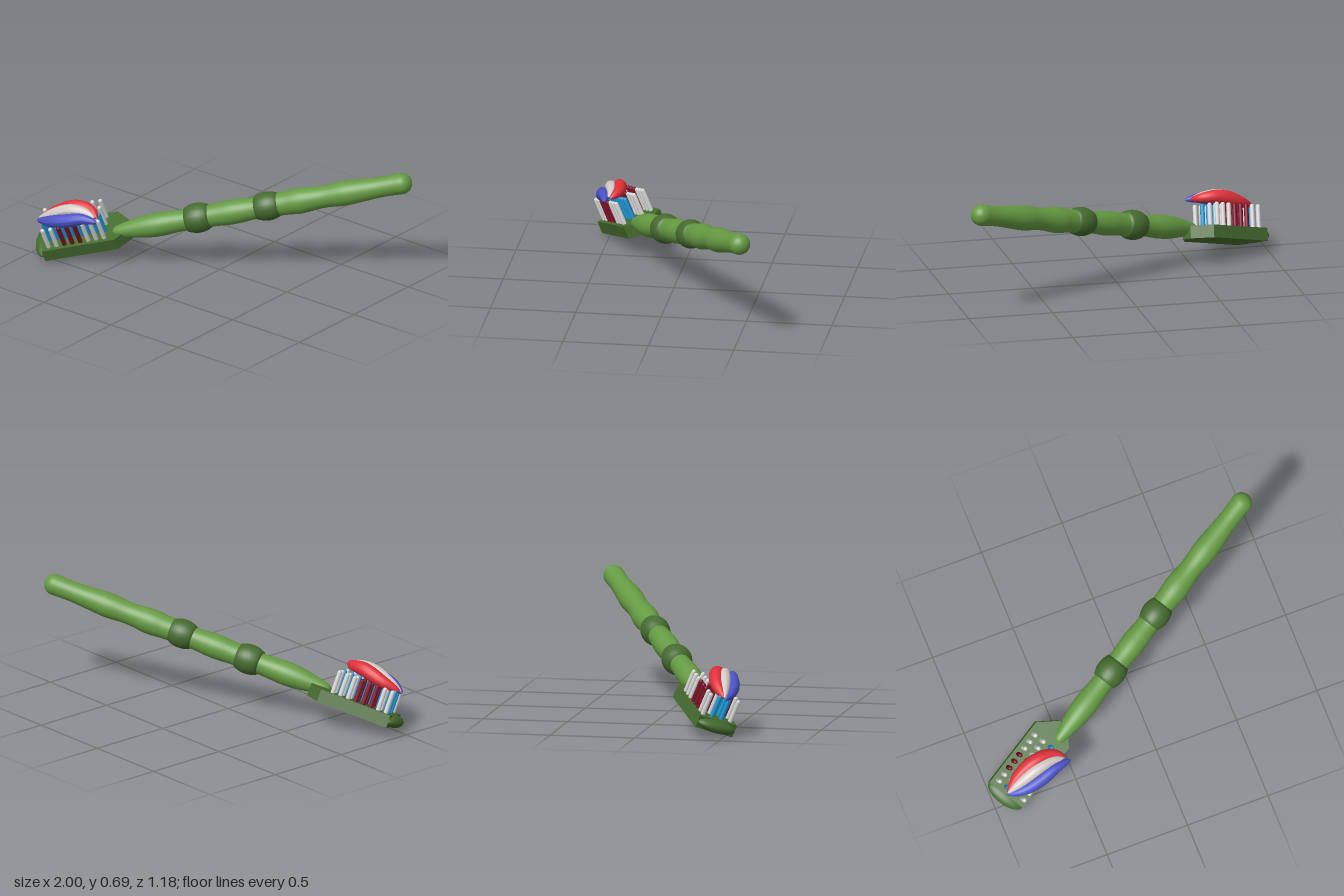
import * as THREE from 'three';

const mat = (name, color) => {
  const m = new THREE.MeshStandardMaterial({ color });
  m.name = name;
  return m;
};
const V = (x, y, z) => new THREE.Vector3(x, y, z);

export function createModel() {
  const green = mat('leafGreen', 0x659a42);
  const darkGreen = mat('darkGreen', 0x456b2e);
  const white = mat('bristleWhite', 0xd6d6d6);
  const maroon = mat('maroon', 0x7c0d26);
  const cyan = mat('skyBlue', 0x1a98d6);
  const red = mat('pasteRed', 0xe0303a);
  const cream = mat('pasteWhite', 0xd2cac6);
  const blue = mat('pasteBlue', 0x4a52c6);

  const model = new THREE.Group();
  model.name = 'toothbrush';
  const add = (parent, name, geo, material) => {
    const mesh = new THREE.Mesh(geo, material);
    mesh.name = name;
    parent.add(mesh);
    return mesh;
  };

  // Tilted brush frame: x runs along the handle, y along the bristles
  const brush = new THREE.Group();
  brush.name = 'brush';
  const along = V(0.843, 0.25, -0.477).normalize();
  const up = V(-0.05, 0.917, 0.393);
  const side = along.clone().cross(up).normalize();
  up.copy(side).cross(along);
  brush.quaternion.setFromRotationMatrix(new THREE.Matrix4().makeBasis(along, up, side));
  brush.position.set(-0.925, 0.08, 0.467);
  model.add(brush);

  // Head block with a tapered end towards the neck
  const T = 0.075, W = 0.122;
  const outline = new THREE.Shape([[0, -W], [0.44, -W], [0.53, -0.02], [0.53, 0.045], [0.44, W], [0, W]]
    .map(([x, y]) => new THREE.Vector2(x, y)));
  const headGeo = new THREE.ExtrudeGeometry(outline, { depth: T, bevelEnabled: false });
  headGeo.rotateX(Math.PI / 2).translate(0, T / 2, 0);
  add(brush, 'head', headGeo, darkGreen);

  // Rounded toe
  const toe = add(brush, 'toe', new THREE.SphereGeometry(1, 24, 16), darkGreen);
  toe.scale.set(0.055, T / 2, W);

  // Turned parts lie along x; each profile pair is [radius, position]
  const turned = (name, profile, material) => {
    const geo = new THREE.LatheGeometry(profile.map(([r, p]) => new THREE.Vector2(r, p)), 28);
    geo.rotateZ(-Math.PI / 2).translate(0, 0.03, 0.044);
    return add(brush, name, geo, material);
  };
  const smooth = (pts) => new THREE.SplineCurve(pts.map(([r, p]) => new THREE.Vector2(r, p)))
    .getPoints(40).map((p) => [Math.max(p.x, 0), p.y]);

  turned('neck', smooth([[0, 0.42], [0.028, 0.44], [0.048, 0.52], [0.066, 0.63], [0.07, 0.72], [0.063, 0.83], [0.062, 0.93]]), green);
  turned('middleGrip', smooth([[0.064, 0.93], [0.066, 1.04], [0.072, 1.13], [0.07, 1.2], [0.064, 1.28], [0.066, 1.37]]), green);

  // Rear handle with gentle swellings and a round end
  const rear = smooth([[0.066, 1.36], [0.069, 1.47], [0.076, 1.56], [0.067, 1.66], [0.066, 1.73],
    [0.073, 1.83], [0.067, 1.93], [0.06, 2.04], [0.06, 2.12], [0.062, 2.175]]);
  for (let i = 1; i <= 8; i++) {
    const a = (i / 8) * Math.PI / 2;
    rear.push([0.062 * Math.cos(a), 2.175 + 0.062 * Math.sin(a)]);
  }
  turned('rearHandle', rear, green);

  // Barrel shaped knuckle bands
  [['frontBand', 0.94, 0.088], ['rearBand', 1.363, 0.085]].forEach(([name, c, r]) => {
    const profile = [[0.05, c - 0.072]];
    for (let i = -4; i <= 4; i++) profile.push([r - 0.018 * (i / 4) ** 2, c + i * 0.0175]);
    profile.push([0.05, c + 0.072]);
    turned(name, profile, darkGreen);
  });

  // Bristles: coloured bands across the outer rows, blue in the middle
  const bristles = new THREE.Group();
  bristles.name = 'bristles';
  brush.add(bristles);
  const bristleGeo = new THREE.CapsuleGeometry(0.0135, 0.14, 4, 10);
  [-0.09, -0.03, 0.03, 0.09].forEach((z, row) => {
    for (let col = 0; col < 8; col++) {
      const middle = row === 2 || (row === 1 && col === 0);
      const m = middle ? cyan : col >= 2 && col <= 4 ? maroon : white;
      const b = add(bristles, 'bristle', bristleGeo, m);
      b.position.set(0.04 + col * 0.048, 0.094, z);
    }
  });

  // Paste strands: tubes whose radius tapers to both ends
  const strand = (name, pts, radius, material) => {
    const curve = new THREE.CatmullRomCurve3(pts.map((p) => V(...p)));
    const n = 40, m = 16;
    const geo = new THREE.TubeGeometry(curve, n, 1, m);
    const pos = geo.attributes.position, p = V(0, 0, 0);
    for (let i = 0; i <= n; i++) {
      const c = curve.getPointAt(i / n);
      const r = 0.003 + radius * Math.sin(Math.PI * i / n) ** 0.6;
      for (let j = 0; j <= m; j++) {
        const k = i * (m + 1) + j;
        p.fromBufferAttribute(pos, k).sub(c).multiplyScalar(r).add(c);
        pos.setXYZ(k, p.x, p.y, p.z);
      }
    }
    geo.computeVertexNormals();
    add(model, name, geo, material);
  };
  strand('redPaste', [[-0.93, 0.25, 0.515], [-0.83, 0.305, 0.455], [-0.72, 0.35, 0.425], [-0.62, 0.352, 0.42], [-0.55, 0.335, 0.455]], 0.039, red);
  strand('whitePaste', [[-0.93, 0.25, 0.52], [-0.84, 0.298, 0.5], [-0.73, 0.343, 0.475], [-0.63, 0.35, 0.46], [-0.56, 0.34, 0.465]], 0.033, cream);
  strand('bluePaste', [[-0.935, 0.24, 0.525], [-0.84, 0.265, 0.54], [-0.73, 0.293, 0.527], [-0.62, 0.325, 0.5], [-0.525, 0.325, 0.485]], 0.036, blue);

  return model;
}
